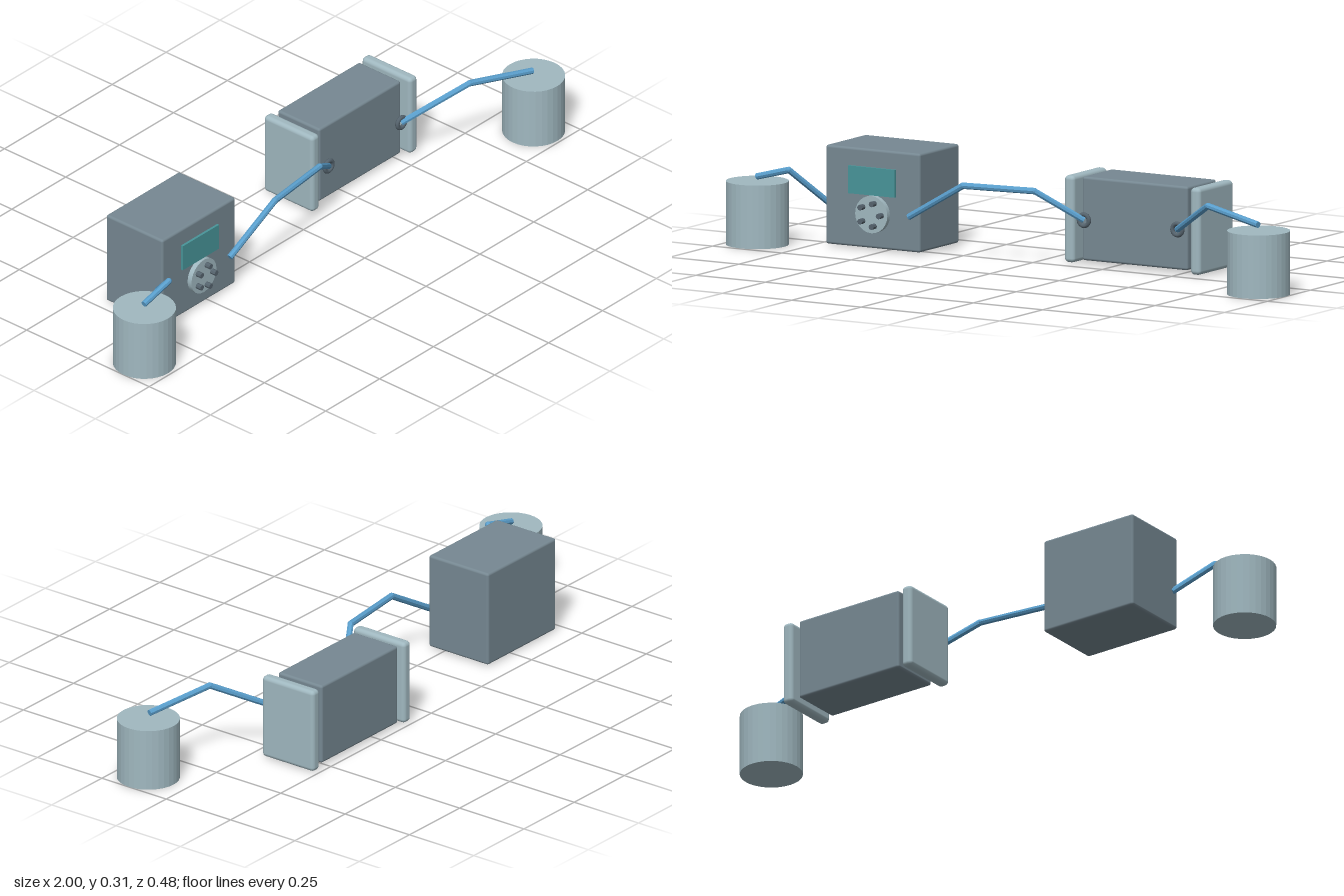
import * as THREE from 'three';
import { RoundedBoxGeometry } from 'three/addons/geometries/RoundedBoxGeometry.js';

const paint = (name, color) => {
  const m = new THREE.MeshStandardMaterial({ color });
  m.name = name;
  return m;
};

export function createModel() {
  const slate = paint('slate casing', 0x768892);
  const pale = paint('pale grey', 0xa0b8c0);
  const blue = paint('blue hose', 0x5a9fcd);
  const teal = paint('teal display', 0x489599);
  const dark = paint('dark fittings', 0x56646e);

  const model = new THREE.Group();
  model.name = 'pumpAndFilterAssembly';

  const add = (parent, name, geometry, material, x, y, z) => {
    const mesh = new THREE.Mesh(geometry, material);
    mesh.name = name;
    mesh.position.set(x, y, z);
    parent.add(mesh);
    return mesh;
  };
  const group = (name) => {
    const g = new THREE.Group();
    g.name = name;
    model.add(g);
    return g;
  };
  // Box given by its minimum and maximum corners
  const box = (parent, name, material, min, max, radius) => {
    const s = max.map((v, i) => v - min[i]);
    const c = max.map((v, i) => (v + min[i]) / 2);
    return add(parent, name, new RoundedBoxGeometry(...s, 3, radius), material, ...c);
  };
  // Faceted cylinder
  const faceted = (radius, height, sides) => {
    const g = new THREE.CylinderGeometry(radius, radius, height, sides).toNonIndexed();
    g.computeVertexNormals();
    return g;
  };
  // Hose of straight runs with rounded elbows
  const hose = (name, coords) => {
    const g = group(name);
    const r = 0.01;
    const pts = coords.map((p) => new THREE.Vector3(...p));
    for (let i = 0; i < pts.length - 1; i++) {
      const dir = pts[i + 1].clone().sub(pts[i]);
      const mid = pts[i].clone().add(pts[i + 1]).multiplyScalar(0.5);
      const run = add(g, 'hoseRun', faceted(r, dir.length(), 8), blue, mid.x, mid.y, mid.z);
      run.quaternion.setFromUnitVectors(new THREE.Vector3(0, 1, 0), dir.normalize());
      if (i > 0) add(g, 'hoseElbow', new THREE.SphereGeometry(r, 10, 8), blue, ...coords[i]);
    }
  };

  // Bottles at both ends
  for (const [name, side] of [['rightBottle', -1], ['leftBottle', 1]]) {
    add(model, name, faceted(0.097, 0.197, 32), pale, side * 0.903, 0.0985, 0.145);
  }

  // Pump casing with display and dial
  const pump = group('pump');
  box(pump, 'pumpCasing', slate, [-0.715, 0.005, -0.178], [-0.375, 0.312, 0.053], 0.008);
  add(pump, 'display', new THREE.BoxGeometry(0.168, 0.086, 0.009), teal, -0.545, 0.213, 0.0565);
  const dial = add(pump, 'dial', new THREE.CylinderGeometry(0.058, 0.058, 0.017, 24), pale, -0.54, 0.112, 0.0605);
  dial.rotation.x = Math.PI / 2;
  for (let i = 0; i < 5; i++) {
    const a = (i / 5) * Math.PI * 2;
    const x = -0.54 + 0.037 * Math.cos(a);
    const y = 0.112 + 0.037 * Math.sin(a);
    const stud = add(pump, 'dialRoller', faceted(0.009, 0.022, 8), dark, x, y, 0.077);
    stud.rotation.x = Math.PI / 2;
  }

  // Filter block between two rounded end plates
  const filter = group('filter');
  box(filter, 'filterBody', slate, [0.14, 0.011, -0.23], [0.52, 0.271, -0.059], 0.008);
  for (const [name, x] of [['rightEndPlate', 0.086], ['leftEndPlate', 0.54]]) {
    box(filter, name, pale, [x, 0.003, -0.24], [x + 0.036, 0.273, -0.039], 0.013);
  }
  // Port rings
  for (const [name, x] of [['rightPort', 0.16], ['leftPort', 0.497]]) {
    add(filter, name, new THREE.TorusGeometry(0.018, 0.007, 8, 20), dark, x, 0.14, -0.038);
  }

  // Hoses
  hose('inletHose', [[-0.905, 0.21, 0.145], [-0.79, 0.24, 0.145], [-0.71, 0.125, 0.03]]);
  hose('middleHose', [[-0.41, 0.115, 0.06], [-0.21, 0.23, 0.068], [0.03, 0.23, 0.04], [0.16, 0.14, -0.038]]);
  hose('outletHose', [[0.497, 0.14, -0.038], [0.68, 0.245, 0.08], [0.9, 0.214, 0.143]]);

  return model;
}
